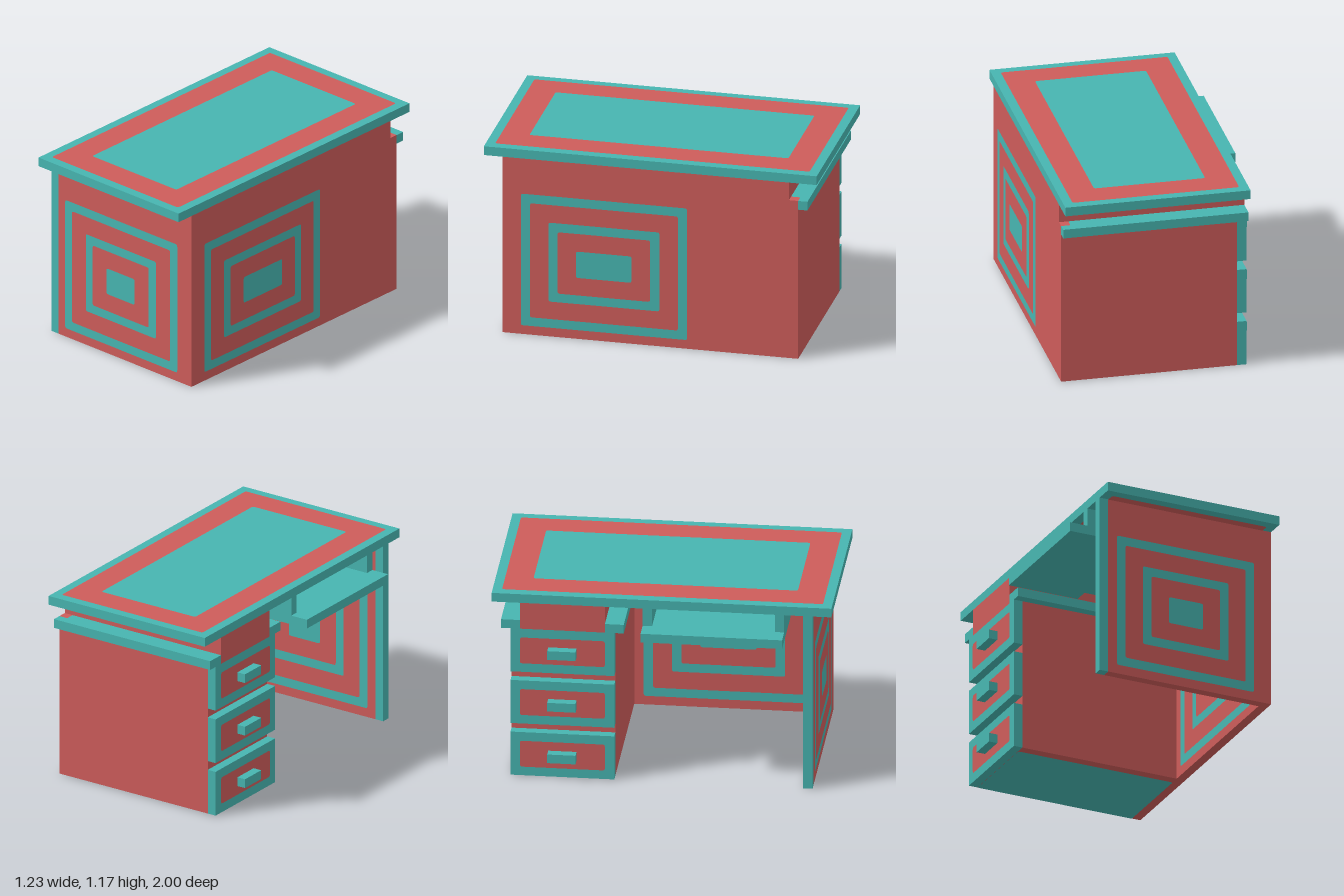
import * as THREE from 'three';

const U = 1 / 18; // one grid step; all sizes below are in steps

function material(name, color) {
  const m = new THREE.MeshStandardMaterial({ color });
  m.name = name;
  return m;
}

// Turns a plate that faces +z towards the given side
const TURN = {
  '+z': [0, 0], '-z': [0, Math.PI], '+x': [0, Math.PI / 2], '-x': [0, -Math.PI / 2],
  '+y': [-Math.PI / 2, 0], '-y': [Math.PI / 2, 0],
};

function roundedRect(w, h, r) {
  const s = new THREE.Shape();
  const x = w / 2, y = h / 2;
  s.moveTo(-x + r, -y);
  s.lineTo(x - r, -y).quadraticCurveTo(x, -y, x, -y + r);
  s.lineTo(x, y - r).quadraticCurveTo(x, y, x - r, y);
  s.lineTo(-x + r, y).quadraticCurveTo(-x, y, -x, y - r);
  s.lineTo(-x, -y + r).quadraticCurveTo(-x, -y, -x + r, -y);
  return s;
}

export function createModel() {
  const teal = material('teal', 0x47b5b0);
  const red = material('coral red', 0xcd5c5a);
  const desk = new THREE.Group();
  desk.name = 'desk';

  // Box given by its two extreme corners
  function box(name, mat, [x0, y0, z0], [x1, y1, z1]) {
    const mesh = new THREE.Mesh(
      new THREE.BoxGeometry((x1 - x0) * U, (y1 - y0) * U, (z1 - z0) * U), mat);
    mesh.position.set((x0 + x1) / 2, (y0 + y1) / 2, (z0 + z1) / 2).multiplyScalar(U);
    mesh.name = name;
    desk.add(mesh);
  }

  // Nested painted plates: each inset shrinks the w x h rectangle, colours alternate
  function paint(name, side, center, w, h, insets, first) {
    const group = new THREE.Group();
    group.name = name;
    insets.forEach((d, i) => {
      const shape = roundedRect((w - 2 * d) * U, (h - 2 * d) * U, 0.25 * U);
      const other = first === teal ? red : teal;
      const plate = new THREE.Mesh(new THREE.ShapeGeometry(shape, 4), i % 2 ? other : first);
      plate.name = 'paintedPlate';
      plate.position.z = 0.0015 * (i + 1);
      group.add(plate);
    });
    group.rotation.set(...TURN[side], 0);
    group.position.set(...center).multiplyScalar(U);
    desk.add(group);
  }
  const RINGS = [0, 1, 3, 4, 6];

  // Table top with a bordered field on both faces
  box('tableTop', teal, [-9, 20, -18], [11, 21, 18]);
  paint('topField', '+y', [1, 21, 0], 18, 34, [0, 3], red);
  paint('topUnderside', '-y', [1, 20, 0], 18, 34, [0, 3], red);

  // Front panel with a contrasting edge post
  box('frontPanel', red, [-8, 0, 15], [11, 20, 16]);
  box('frontPanelEdge', teal, [-9, 0, 15], [-8, 20, 16]);
  paint('frontRings', '+z', [1, 8.5, 16], 16, 15, RINGS, teal);
  paint('frontInnerRings', '-z', [1, 8.5, 15], 16, 15, RINGS, teal);

  // Long side panel, notched at its upper back corner
  box('sidePanel', red, [10, 0, -16], [11, 18, 15]);
  box('sidePanelUpper', red, [10, 18, -15], [11, 20, 15]);
  paint('sideRings', '+x', [11, 8.5, 5], 18, 15, RINGS, teal);
  paint('sideInnerRings', '-x', [10, 8.5, 5], 18, 15, RINGS, teal);

  // Drawer cabinet, its upper block and the ledges beside it
  box('cabinet', red, [-8, 0, -16], [10, 17, -5]);
  box('cabinetUpper', red, [-9, 17, -15], [10, 20, -6]);
  box('backLedge', teal, [-9, 17, -17], [11, 18, -16]);
  box('backLedgeInner', teal, [-9, 17, -16], [10, 18, -15]);
  box('innerLedge', teal, [-9, 17, -6], [10, 18, -4]);
  paint('cabinetBottom', '-y', [1, 0, -11], 18, 10, [0], teal);

  // Three drawer fronts with handles
  for (const y of [0, 6, 12]) {
    box('drawerFront', teal, [-9, y, -16], [-8, y + 5, -5]);
    paint('drawerField', '-x', [-9, y + 2.5, -10.5], 9, 3, [0], red);
    box('drawerHandle', teal, [-10, y + 2, -12], [-9, y + 3, -9]);
  }

  // Sliding tray hung under the top
  box('tray', teal, [-11, 17, -2], [-3, 18, 13]);
  for (const z of [-2, 12]) box('trayHanger', teal, [-9, 18, z], [-3, 20, z + 1]);

  return desk;
}
